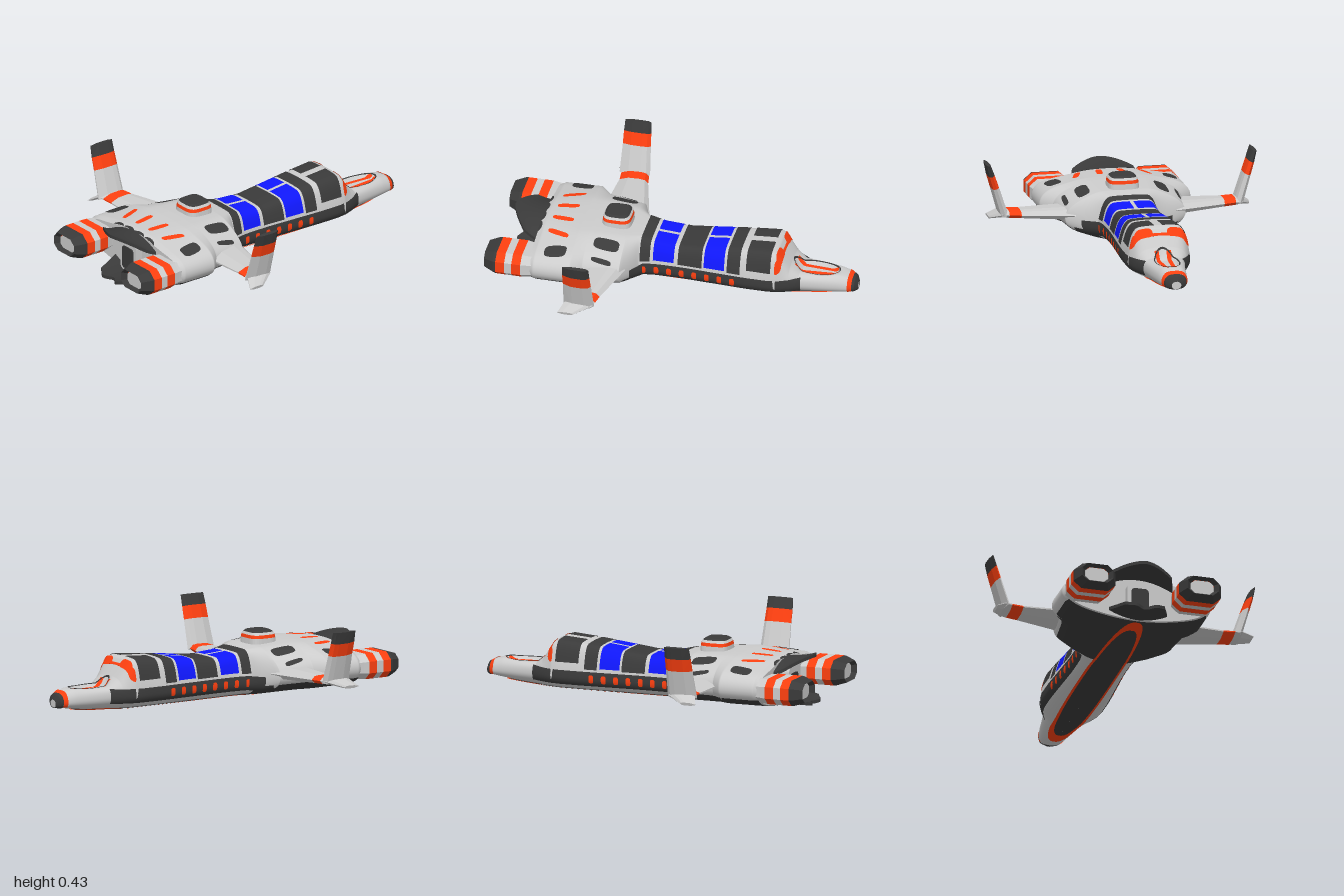
import * as THREE from 'three';

const mat = (color, flat = false) =>
  new THREE.MeshStandardMaterial({ color, flatShading: flat, side: THREE.DoubleSide });
const GREY = 0xcccccc, DARK = 0x3a3a3a, ORANGE = 0xff4010, BLUE = 0x1018ff;

// Hull stations: z, chine x, upper chine y, shoulder x, shoulder y, spine y
const STATIONS = [
  [-1, .025, .08, .012, .088, .09],
  [-.985, .055, .095, .035, .112, .117],
  [-.95, .07, .1, .05, .13, .137],
  [-.9, .08, .11, .055, .142, .147],
  [-.69, .115, .12, .09, .142, .147],
  [-.64, .145, .13, .11, .175, .19],
  [-.57, .172, .13, .14, .272, .282],
  [-.54, .175, .13, .14, .28, .29],
  [-.4, .175, .13, .135, .27, .28],
  [-.05, .155, .13, .125, .235, .24],
  [.1, .155, .13, .125, .245, .25],
  [.19, .17, .14, .13, .265, .27],
  [.26, .335, .19, .17, .278, .282],
  [.46, .36, .21, .2, .285, .293],
  [.52, .42, .225, .21, .285, .293],
  [.72, .42, .225, .2, .265, .283],
  [.75, .4, .22, .19, .25, .275],
];

// Point on the left half of the hull; u runs from keel (0) to spine (1)
function hull(z, u) {
  let i = 0;
  while (i < STATIONS.length - 2 && z > STATIONS[i + 1][0]) i++;
  const A = STATIONS[i], B = STATIONS[i + 1];
  const k = THREE.MathUtils.clamp((z - A[0]) / (B[0] - A[0]), 0, 1);
  const [, w, y2, xs, ys, yt] = A.map((a, j) => a + (B[j] - a) * k);
  // Keel sweeps up at the nose; the lower chine lifts under the wings
  const yb = .012 + .038 * Math.max(0, (-z - .54) / .46) ** 2 + .012 * Math.max(0, z);
  const xb = Math.min(.12, w * .45);
  const y1 = .06 + .025 * THREE.MathUtils.clamp((z - .19) / .07, 0, 1);
  const P = [[0, yb], [xb, yb], [w, y1], [w, y2], [xs, ys], [xs / 2, yt], [0, yt]];
  // Rounded section: quadratic B-spline through the control points
  const s = Math.min(4, Math.floor(u * 5)), t = u * 5 - s;
  const p = [0, 1].map(c => {
    const a = s === 0 ? P[0][c] : (P[s][c] + P[s + 1][c]) / 2;
    const b = s === 4 ? P[6][c] : (P[s + 1][c] + P[s + 2][c]) / 2;
    return a * (1 - t) ** 2 + 2 * P[s + 1][c] * t * (1 - t) + b * t * t;
  });
  // Scooped hollow on top of the nose
  const e = (p[0] / .065) ** 2 + ((z + .77) / .13) ** 2;
  if (u > .5 && e < 1) p[1] -= .02 * Math.min(1, (1 - e) * 3);
  return new THREE.Vector3(p[0], p[1], z);
}

// Find u on the hull from x on the top, x underneath, or y on the flank
function solve(mode, z, v) {
  let lo = mode === 'top' ? .42 : 0, hi = mode === 'bottom' ? .4 : 1;
  for (let i = 0; i < 24; i++) {
    const m = (lo + hi) / 2, p = hull(z, m);
    const below = mode === 'top' ? p.x > v : mode === 'bottom' ? p.x < v : p.y < v;
    if (below) lo = m; else hi = m;
  }
  return (lo + hi) / 2;
}

function indexed(pos, idx) {
  const g = new THREE.BufferGeometry();
  g.setAttribute('position', new THREE.Float32BufferAttribute(pos, 3));
  g.setIndex(idx);
  g.computeVertexNormals();
  return g;
}

// Thin panel lying on the hull, made on both sides; f(s, t) gives [z, u]
function patch(name, color, nu, nv, f, off = .003, flip = false) {
  const pos = [], idx = [], n = (nu + 1) * (nv + 1);
  for (const side of [1, -1]) {
    for (let j = 0; j <= nv; j++) for (let i = 0; i <= nu; i++) {
      const [z, u] = f(i / nu, j / nv), e = .004;
      const du = hull(z, Math.min(1, u + e)).sub(hull(z, Math.max(0, u - e)));
      const dz = hull(Math.min(.75, z + e), u).sub(hull(Math.max(-1, z - e), u));
      const p = hull(z, u).addScaledVector(du.cross(dz).normalize(), off);
      pos.push(p.x * side, p.y, p.z);
    }
    const base = side > 0 ? 0 : n;
    for (let j = 0; j < nv; j++) for (let i = 0; i < nu; i++) {
      const a = base + j * (nu + 1) + i, b = a + 1, c = a + nu + 1, d = c + 1;
      if ((side > 0) !== flip) idx.push(a, b, d, a, d, c); else idx.push(a, d, b, a, c, d);
    }
  }
  const m = new THREE.Mesh(indexed(pos, idx), mat(color));
  m.name = name;
  return m;
}
const strip = (name, color, z0, z1, lo, hi) => patch(name, color, 20, 16, (s, t) => {
  const z = z0 + (z1 - z0) * t, a = lo(z), b = hi(z);
  return [z, a + (b - a) * s];
});
// Rounded mark centred at (c, z); inner > 0 leaves a ring
function mark(name, color, mode, c, z, rc, rz, { tilt = 0, inner = 0, pow = 3.5, off = .003 } = {}) {
  const sup = v => Math.sign(v) * Math.abs(v) ** (2 / pow);
  return patch(name, color, 5, c === 0 ? 64 : 32, (s, t) => {
    const th = c === 0 ? (t - .5) * Math.PI : t * 2 * Math.PI, r = inner + (1 - inner) * s;
    const dz = r * rz * sup(Math.sin(th)), zz = Math.min(.75, z + dz);
    return [zz, solve(mode, zz, c + r * rc * sup(Math.cos(th)) - tilt * dz)];
  }, off, mode === 'top');
}

// Skin a row of closed rings of Vector3, facing outward, with optional end caps
function loft(name, rings, color, { flat = true, caps = true } = {}) {
  const n = rings[0].length, idx = [], pts = rings.flat();
  for (let j = 0; j < rings.length - 1; j++) for (let i = 0; i < n; i++) {
    const a = j * n + i, b = j * n + (i + 1) % n;
    idx.push(a, b, b + n, a, b + n, a + n);
  }
  if (caps) for (const [ring, rev] of [[rings[0], true], [rings.at(-1), false]]) {
    const o = pts.length;
    pts.push(...ring, ring.reduce((s, p) => s.add(p), new THREE.Vector3()).divideScalar(n));
    for (let i = 0; i < n; i++) {
      const a = o + i, b = o + (i + 1) % n;
      idx.push(...(rev ? [b, a] : [a, b]), o + n);
    }
  }
  const mid = pts.reduce((s, p) => s.add(p), new THREE.Vector3()).divideScalar(pts.length);
  const q = pts.map(p => p.clone().sub(mid));
  let vol = 0;
  for (let i = 0; i < idx.length; i += 3) vol += q[idx[i]].dot(q[idx[i + 1]].clone().cross(q[idx[i + 2]]));
  if (vol < 0) idx.reverse();
  const m = new THREE.Mesh(indexed(pts.flatMap(p => p.toArray()), idx), mat(color, flat));
  m.name = name;
  return m;
}

// Wing or fin section: thickness t along (nx, ny)
const foil = (s, [x, y, z0, z1, t, nx, ny]) =>
  [[0, 0], [.12, .8], [.3, 1], [.7, .9], [1, .15], [1, -.15], [.7, -.9], [.3, -1], [.12, -.8]].map(([c, h]) =>
    new THREE.Vector3(s * (x + h * t * nx), y + h * t * ny, z0 + (z1 - z0) * c));

export function createModel() {
  const g = new THREE.Group();
  g.name = 'shuttle';

  // Main hull
  const zs = [...Array.from({ length: 141 }, (_, i) => -1 + i / 80), ...STATIONS.slice(1, -1).map(s => s[0])]
    .sort((a, b) => a - b).filter((z, i, all) => i === 0 || z - all[i - 1] > 1e-6);
  const ring = z => {
    const half = Array.from({ length: 41 }, (_, i) => hull(z, i / 40));
    return [...half, ...half.slice(1, -1).reverse().map(p => new THREE.Vector3(-p.x, p.y, z))];
  };
  g.add(loft('hull', zs.map(ring), GREY, { flat: false }));
  const all = v => () => v, top = x => z => solve('top', z, x), side = y => z => solve('side', z, y);

  // Nose
  g.add(strip('noseCap', DARK, -1, -.972, all(0), all(1)));
  g.add(strip('noseBand', ORANGE, -.972, -.95, all(.25), all(1)));
  g.add(mark('noseHollowRim', DARK, 'top', 0, -.77, .067, .132, { inner: .95, pow: 2 }));
  g.add(strip('noseStripe', ORANGE, -.89, -.655,
    z => solve('top', z, .03 + (z + .89) * .07), z => solve('top', z, .006 + (z + .89) * .07)));
  g.add(mark('windshieldMark', ORANGE, 'top', .09, -.585, .05, .016, { tilt: -.3 }));
  g.add(mark('windshieldSideMark', ORANGE, 'side', .215, -.582, .04, .016, { tilt: .6 }));

  // Cabin panels and windows
  g.add(strip('cockpitPanel', DARK, -.545, -.41, side(.175), top(.022)));
  for (const [a, b] of [[-.375, -.302], [-.16, -.025], [.13, .185]])
    g.add(strip('roofBand', DARK, a, b, side(.145), all(1)));
  for (const [a, b] of [[-.287, -.172], [-.003, .113]])
    g.add(strip('skylight', BLUE, a, b, side(.152), top(.01)));
  g.add(strip('flankBand', DARK, -.7, .225, side(.055), side(.133)));
  for (let i = 0; i < 8; i++)
    g.add(mark('cabinWindow', ORANGE, 'side', .095, .165 - i * .071, .021, .014, { off: .005 }));

  // Belly
  g.add(strip('bellyAft', DARK, .2, .74, all(0), all(.32)));
  g.add(mark('bellyPanel', DARK, 'bottom', 0, -.08, .085, .8, { pow: 2.6, off: .004 }));
  g.add(mark('bellyRing', ORANGE, 'bottom', 0, -.08, .095, .81, { inner: .87, pow: 2.6, off: .006 }));

  // Marks on the broad aft deck
  g.add(mark('deckPanel', DARK, 'top', .22, .355, .035, .07));
  g.add(mark('deckSlot', DARK, 'top', .312, .365, .011, .055));
  g.add(mark('housingPanel', DARK, 'top', .325, .615, .038, .06, { tilt: -.1 }));
  g.add(mark('deckStripe', ORANGE, 'top', .063, .632, .018, .06, { tilt: .12 }));
  g.add(mark('deckStripeOuter', ORANGE, 'top', .19, .63, .018, .06, { tilt: .33 }));
  for (const x of [.045, .135]) g.add(mark('deckScallop', DARK, 'top', x, .755, .044, .022, { pow: 2 }));

  // Dorsal turret
  const turretRing = (y, r) => Array.from({ length: 32 }, (_, i) => {
    const a = i / 32 * Math.PI * 2, f = v => Math.sign(v) * Math.abs(v) ** .55;
    return new THREE.Vector3(r * f(Math.cos(a)), y, .34 + r * .95 * f(Math.sin(a)));
  });
  [[.26, .088, .312, .084, GREY], [.312, .084, .33, .08, ORANGE], [.33, .08, .343, .072, GREY], [.343, .072, .352, .058, DARK]]
    .forEach(([y0, r0, y1, r1, c]) => g.add(loft('turret', [turretRing(y0, r0), turretRing(y1, r1)], c)));

  // Rear hood and ramp: bent plates over and under the bay
  const plate = (name, bend) => {
    const geo = new THREE.BoxGeometry(2, .018, 1, 20, 1, 8), p = geo.attributes.position;
    for (let i = 0; i < p.count; i++) {
      const [x, y, z] = bend(p.getX(i), p.getZ(i) + .5);
      p.setXYZ(i, x, p.getY(i) + y, z);
    }
    geo.computeVertexNormals();
    const m = new THREE.Mesh(geo, mat(DARK));
    m.name = name;
    g.add(m);
  };
  plate('rearHood', (s, t) => {
    const x = s * (.2 - .03 * t), end = .915 - .085 * Math.abs(s) ** 1.5;
    return [x, .268 - 1.4 * x * x + .025 * t * t, .735 + (end - .735) * t];
  });
  plate('rearRamp', (s, t) => {
    const x = s * (.17 - .06 * t);
    return [x, .03 + 1.5 * x * x, .735 + (.185 - .03 * Math.cos(s * 3) ** 2) * t];
  });

  // Rear hatch
  const block = (name, color, w, h, r, depth, y) => {
    const s = new THREE.Shape(), a = w - r, b = h - r;
    s.absarc(a, b, r, 0, Math.PI / 2).absarc(-a, b, r, Math.PI / 2, Math.PI)
      .absarc(-a, -b, r, Math.PI, Math.PI * 1.5).absarc(a, -b, r, Math.PI * 1.5, Math.PI * 2);
    const m = new THREE.Mesh(new THREE.ExtrudeGeometry(s, { depth, bevelEnabled: false }), mat(color));
    m.position.set(0, y, .74);
    m.name = name;
    g.add(m);
  };
  block('hatchFrame', GREY, .07, .09, .03, .05, .135);
  block('hatchDoor', DARK, .048, .065, .02, .056, .125);

  for (const s of [1, -1]) {
    // Engine nacelle
    const sect = (z, k) => [[.118, .032], [.075, .07], [-.075, .07], [-.118, .032], [-.118, -.032], [-.075, -.07], [.075, -.07], [.118, -.032]]
      .map(([x, y]) => new THREE.Vector3(s * (.298 + x * k), .155 + y * k, z));
    [[.72, .9, .755, .94, GREY], [.755, .94, .79, 1, GREY], [.79, 1, .84, 1, ORANGE], [.84, 1, .88, 1, GREY],
      [.88, 1, .93, 1, ORANGE], [.93, 1, .945, .98, DARK], [.945, .98, 1, .74, DARK]]
      .forEach(([z0, k0, z1, k1, c]) => g.add(loft('nacelle', [sect(z0, k0), sect(z1, k1)], c, { caps: false })));
    g.add(loft('exhaustRim', [sect(1, .74), sect(.975, .56)], DARK, { caps: false }));
    g.add(loft('exhaust', [sect(.96, .56), sect(.976, .54)], GREY));

    // Wing, tip winglet and canted fin
    const W = [[.28, .155, .235, .49, .035, 0, 1], [.565, .155, .31, .47, .023, 0, 1],
      [.63, .157, .32, .475, .022, 0, 1], [.67, .157, .33, .485, .018, 0, 1], [.724, .125, .42, .51, .009, .3, .95]];
    [GREY, ORANGE, GREY, GREY].forEach((c, i) =>
      g.add(loft(i > 2 ? 'winglet' : 'wing', [foil(s, W[i]), foil(s, W[i + 1])], c)));
    const F = [[.652, .148, .32, .49, .024, .95, -.3], [.70, .305, .327, .483, .02, .95, -.3],
      [.722, .375, .33, .482, .018, .95, -.3], [.74, .436, .332, .478, .013, .95, -.1]];
    [GREY, ORANGE, DARK].forEach((c, i) => g.add(loft('fin', [foil(s, F[i]), foil(s, F[i + 1])], c)));
  }
  return g;
}
